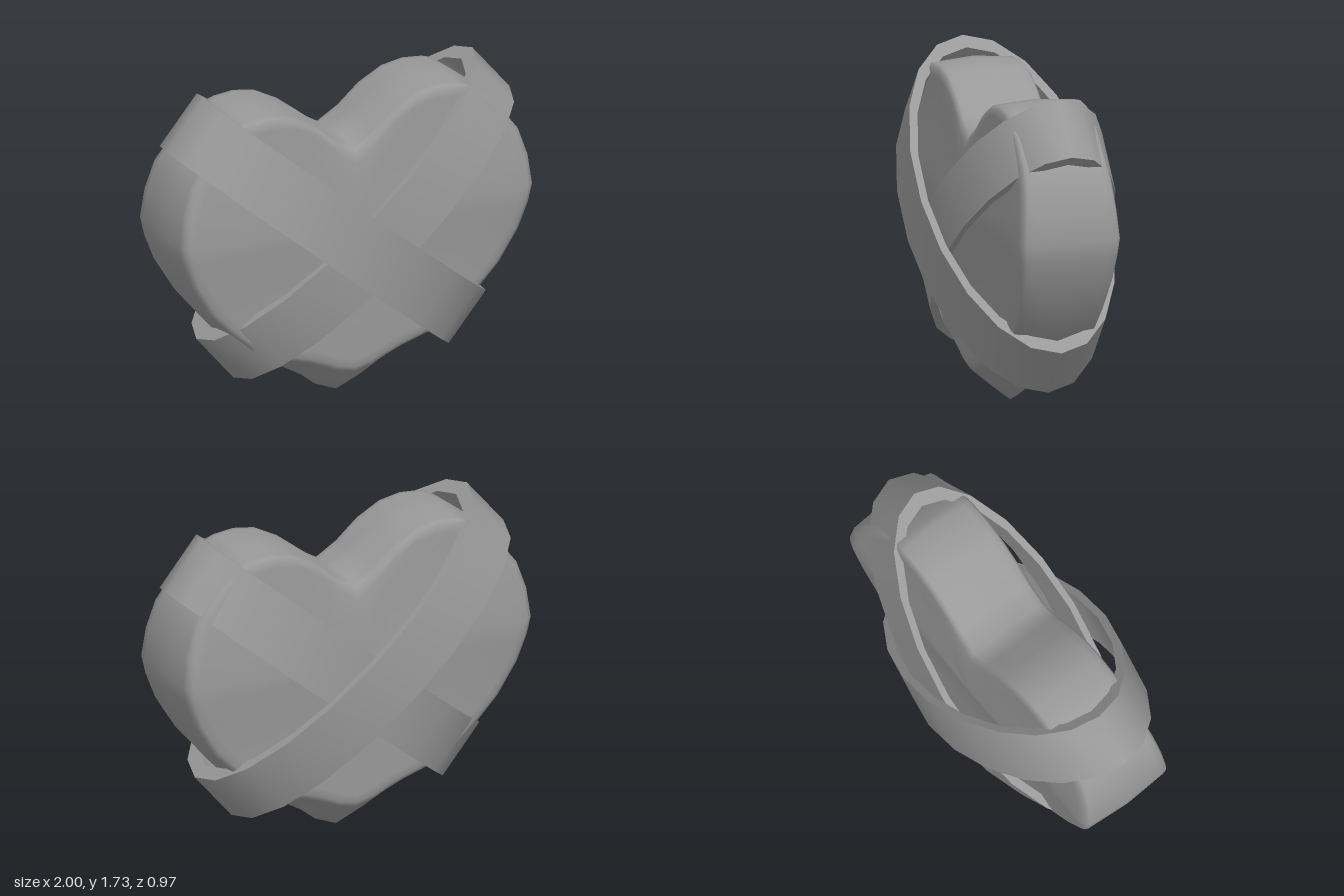
import * as THREE from 'three';
import { toCreasedNormals } from 'three/addons/utils/BufferGeometryUtils.js';

// Right half of the outline from bottom tip to top notch: x, y, bevel inset
const HALF = [
  [0, 0.005, 0.175], [0.12, 0.055, 0.15], [0.2, 0.12, 0.12], [0.3, 0.18, 0.1],
  [0.5, 0.275, 0.07], [0.61, 0.37, 0.045], [0.72, 0.49, 0.03], [0.83, 0.62, 0.02],
  [0.93, 0.8, 0.015], [0.98, 0.94, 0.015], [1, 1.04, 0.015], [0.98, 1.2, 0.015],
  [0.93, 1.35, 0.015], [0.87, 1.43, 0.015], [0.76, 1.55, 0.015], [0.65, 1.635, 0.015],
  [0.6, 1.655, 0.02], [0.49, 1.667, 0.02], [0.37, 1.648, 0.02], [0.24, 1.585, 0.025],
  [0.12, 1.49, 0.03], [0, 1.43, 0.04],
];
// Cross-section rows from face centre to rim: depth share, bevel share, extra inset, scale
const FRONT = [
  [1, 1, 0.07, 0], [1, 1, 0.07, 0.35], [1, 1, 0.07, 0.7], [1, 1, 0.07, 1],
  [0.97, 1, 0.025, 1], [0.91, 1, 0, 1], [0.76, 0.83, 0, 1], [0.4, 0.42, 0, 1],
];
const CENTRE_Y = 0.97;

function heartGeometry() {
  const outline = [...HALF, ...HALF.slice(1, -1).reverse().map(([x, y, b]) => [-x, y, b])];
  const rows = [...FRONT, [0, 0, 0, 1], ...FRONT.map(([d, ...r]) => [-d, ...r]).reverse()];
  const n = outline.length;
  const positions = [];
  const index = [];
  rows.forEach(([depth, share, extra, scale], j) => {
    outline.forEach(([x, y, bevel], i) => {
      const dy = y - CENTRE_Y;
      const k = scale * (1 - (bevel * share + extra) / Math.hypot(x, dy));
      const py = CENTRE_Y + dy * k;
      // the body is thickest at mid height
      const thickness = 0.27 * (1 - 0.14 * Math.min(1, Math.abs(py - 1.03) / 0.42));
      positions.push(x * k, py, depth * thickness);
      if (j < rows.length - 1) {
        const a = j * n + i, b = j * n + (i + 1) % n;
        if (scale > 0) index.push(a, a + n, b);
        if (rows[j + 1][3] > 0) index.push(b, a + n, b + n);
      }
    });
  });
  const geo = new THREE.BufferGeometry();
  geo.setAttribute('position', new THREE.Float32BufferAttribute(positions, 3));
  geo.setIndex(index);
  geo.computeVertexNormals();
  return geo;
}

// Elliptical band of 20 sides with a smooth face and sharp rims
function bandGeometry(long, deep, width) {
  const ellipse = (s) => Array.from({ length: 20 }, (_, i) => {
    const a = (i / 20) * Math.PI * 2;
    return new THREE.Vector2(Math.cos(a) * long * s, Math.sin(a) * deep * s);
  });
  const shape = new THREE.Shape(ellipse(1));
  shape.holes.push(new THREE.Path(ellipse(0.921)));
  const geo = new THREE.ExtrudeGeometry(shape, { depth: width, bevelEnabled: false });
  geo.translate(0, 0, -width / 2);
  geo.rotateX(Math.PI / 2);
  return toCreasedNormals(geo, 0.9);
}

export function createModel() {
  const group = new THREE.Group();
  const grey = new THREE.MeshStandardMaterial({ color: 0x999999 });
  grey.name = 'grey';

  const heart = new THREE.Mesh(heartGeometry(), grey);
  heart.name = 'heart';
  group.add(heart);

  // Two crossing bands, the inner one shallower
  const bands = [
    ['outerBand', -0.075, 0.485, -1],
    ['innerBand', 0.095, 0.42, 1],
  ];
  for (const [name, x, deep, side] of bands) {
    const band = new THREE.Mesh(bandGeometry(1.017, deep, 0.327), grey);
    band.name = name;
    band.position.set(x, 0.952, 0);
    band.rotation.z = side * 0.697;
    group.add(band);
  }
  return group;
}
